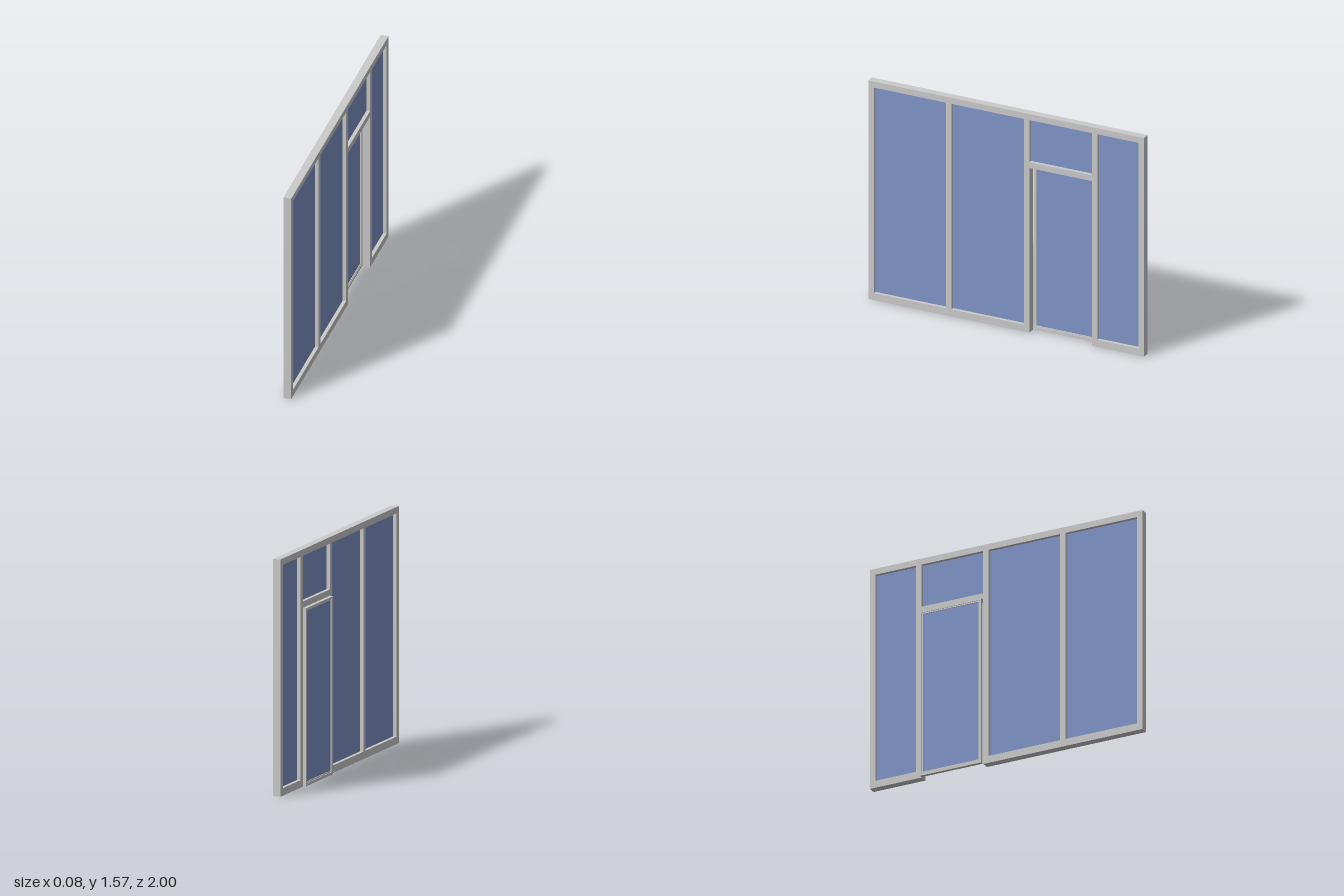
import * as THREE from 'three';

const frameMat = new THREE.MeshStandardMaterial({ color: 0xcccccc });
const glassMat = new THREE.MeshStandardMaterial({ color: 0x8096c8 });

// Box given by its extents on each axis
function box(parent, name, mat, [x0, x1], [y0, y1], [z0, z1]) {
  const mesh = new THREE.Mesh(new THREE.BoxGeometry(x1 - x0, y1 - y0, z1 - z0), mat);
  mesh.position.set((x0 + x1) / 2, (y0 + y1) / 2, (z0 + z1) / 2);
  mesh.name = name;
  parent.add(mesh);
}

// Rectangular frame of four bars: width w at sides and top, wb at the bottom
function ring(parent, name, x, [y0, y1], [z0, z1], w, wb) {
  const g = new THREE.Group();
  g.name = name;
  box(g, 'bottomBar', frameMat, x, [y0, y0 + wb], [z0, z1]);
  box(g, 'topBar', frameMat, x, [y1 - w, y1], [z0, z1]);
  box(g, 'sideBar', frameMat, x, [y0 + wb, y1 - w], [z0, z0 + w]);
  box(g, 'sideBar', frameMat, x, [y0 + wb, y1 - w], [z1 - w, z1]);
  parent.add(g);
}

export function createModel() {
  const model = new THREE.Group();
  model.name = 'glazedPartition';
  const depth = [-0.015, 0.038];
  const paneX = [0.009, 0.014];
  const sill = 0.05, head = 1.53, top = 1.573;

  // Horizontal rails; the bottom one is interrupted at the doorway
  box(model, 'topRail', frameMat, depth, [head, top], [-1, 1]);
  box(model, 'bottomRail', frameMat, depth, [0, sill], [-0.168, 1]);
  box(model, 'bottomRail', frameMat, depth, [0, sill], [-1, -0.621]);

  // Posts
  const posts = [[0.96, 1], [0.397, 0.437], [-0.168, -0.128], [-0.661, -0.621], [-1, -0.96]];
  posts.forEach((z) => box(model, 'post', frameMat, depth, [sill, head], z));

  // Door header
  const header = [1.185, 1.227];
  box(model, 'doorHeader', frameMat, depth, header, [-0.621, -0.168]);

  // Panes between neighbouring posts; the door bay has one only above the header
  for (let i = 0; i < posts.length - 1; i++) {
    const bottom = i === 2 ? header[1] : sill;
    box(model, 'glassPane', glassMat, paneX, [bottom, head], [posts[i + 1][1], posts[i][0]]);
  }

  // Door mounted on the -x side of the partition
  const door = new THREE.Group();
  door.name = 'door';
  ring(door, 'doorFrame', [-0.038, -0.015], [0.003, 1.184], [-0.621, -0.172], 0.013, 0.02);
  ring(door, 'doorLeafFrame', [-0.034, -0.019], [0.023, 1.171], [-0.608, -0.185], 0.008, 0.008);
  box(door, 'doorGlass', glassMat, [-0.029, -0.024], [0.031, 1.163], [-0.6, -0.193]);
  model.add(door);

  return model;
}
